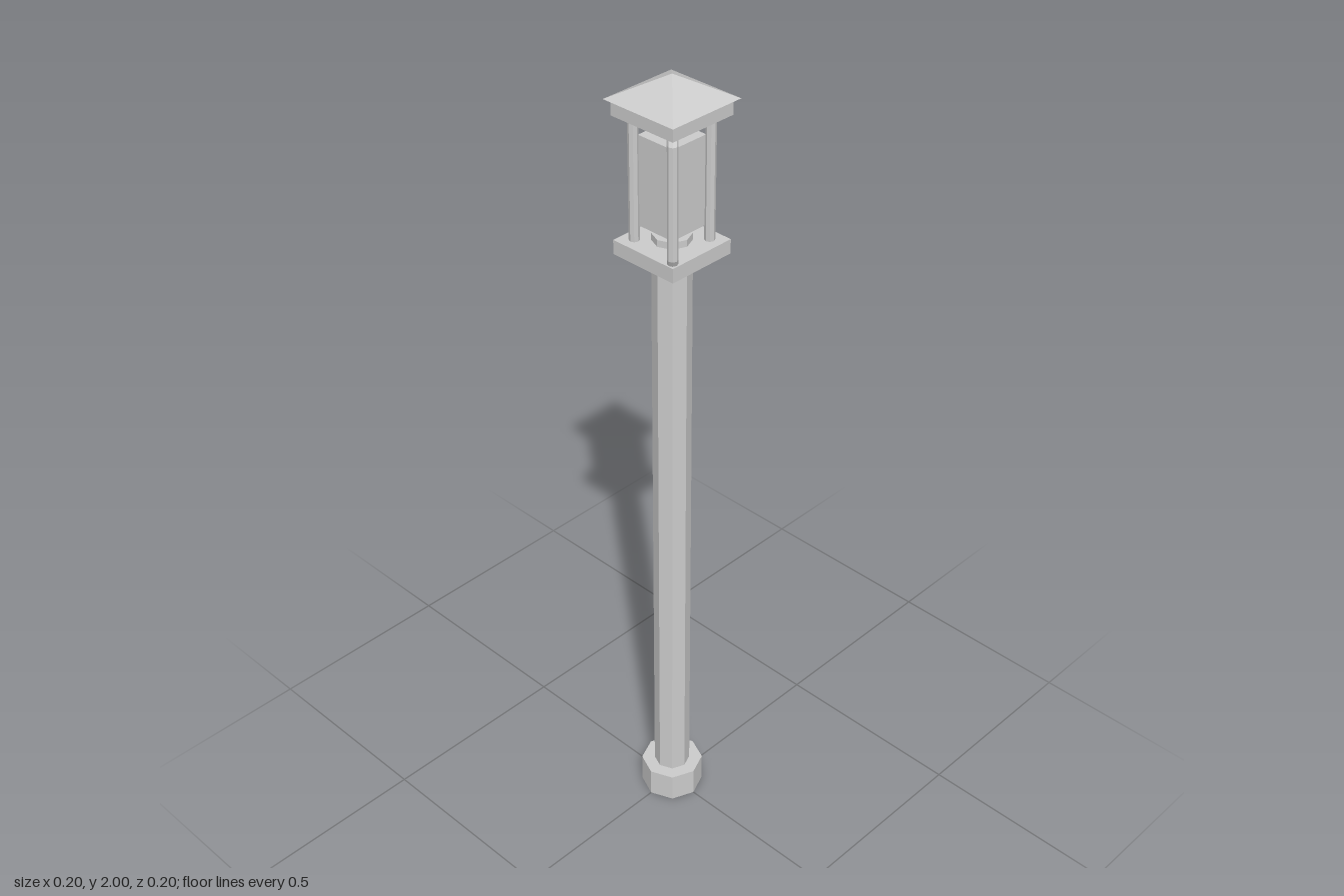
import * as THREE from 'three';

const material = new THREE.MeshStandardMaterial({ color: 0xcccccc, flatShading: true });

export function createModel() {
  const model = new THREE.Group();
  model.name = 'lampPost';

  const add = (name, geometry, x, y, z, parent = model) => {
    const mesh = new THREE.Mesh(geometry, material);
    mesh.name = name;
    mesh.position.set(x, y, z);
    parent.add(mesh);
    return mesh;
  };
  const box = (width, height) => new THREE.BoxGeometry(width, height, width);

  // Octagonal foot, recessed underneath
  const footProfile = [[0, 0.06], [0.05, 0.06], [0.05, 0], [0.078, 0], [0.078, 0.077], [0, 0.077]]
    .map(([r, y]) => new THREE.Vector2(r, y));
  add('foot', new THREE.LatheGeometry(footProfile, 8), 0, 0, 0);

  // Octagonal pole, ending as a stub inside the lantern
  add('pole', new THREE.CylinderGeometry(0.045, 0.045, 1.565, 8), 0, 0.8525, 0);

  // Lantern
  const lantern = new THREE.Group();
  lantern.name = 'lantern';
  model.add(lantern);
  add('floorPlate', box(0.178, 0.035), 0, 1.601, 0, lantern);
  add('topPlate', box(0.178, 0.037), 0, 1.927, 0, lantern);
  add('lampBlock', box(0.1, 0.212), 0, 1.759, 0, lantern);

  // Corner posts: the front left one stands further out, its ends bent inwards
  for (const sx of [-1, 1]) {
    for (const sz of [-1, 1]) {
      const outer = sx > 0 && sz > 0;
      const offset = outer ? 0.079 : 0.057;
      const geometry = new THREE.CylinderGeometry(0.012, 0.012, 0.3, 8, 16);
      if (outer) {
        const p = geometry.attributes.position;
        for (let i = 0; i < p.count; i++) {
          if (Math.abs(p.getY(i)) > 0.14) {
            p.setX(i, p.getX(i) - 0.007);
            p.setZ(i, p.getZ(i) - 0.007);
          }
        }
      }
      add('cornerPost', geometry, sx * offset, 1.764, sz * offset, lantern);
    }
  }

  // Pyramid roof with a slight overhang
  const roof = add('roof', new THREE.ConeGeometry(0.1 * Math.SQRT2, 0.055, 4), 0, 1.9725, 0, lantern);
  roof.rotation.y = Math.PI / 4;

  return model;
}
